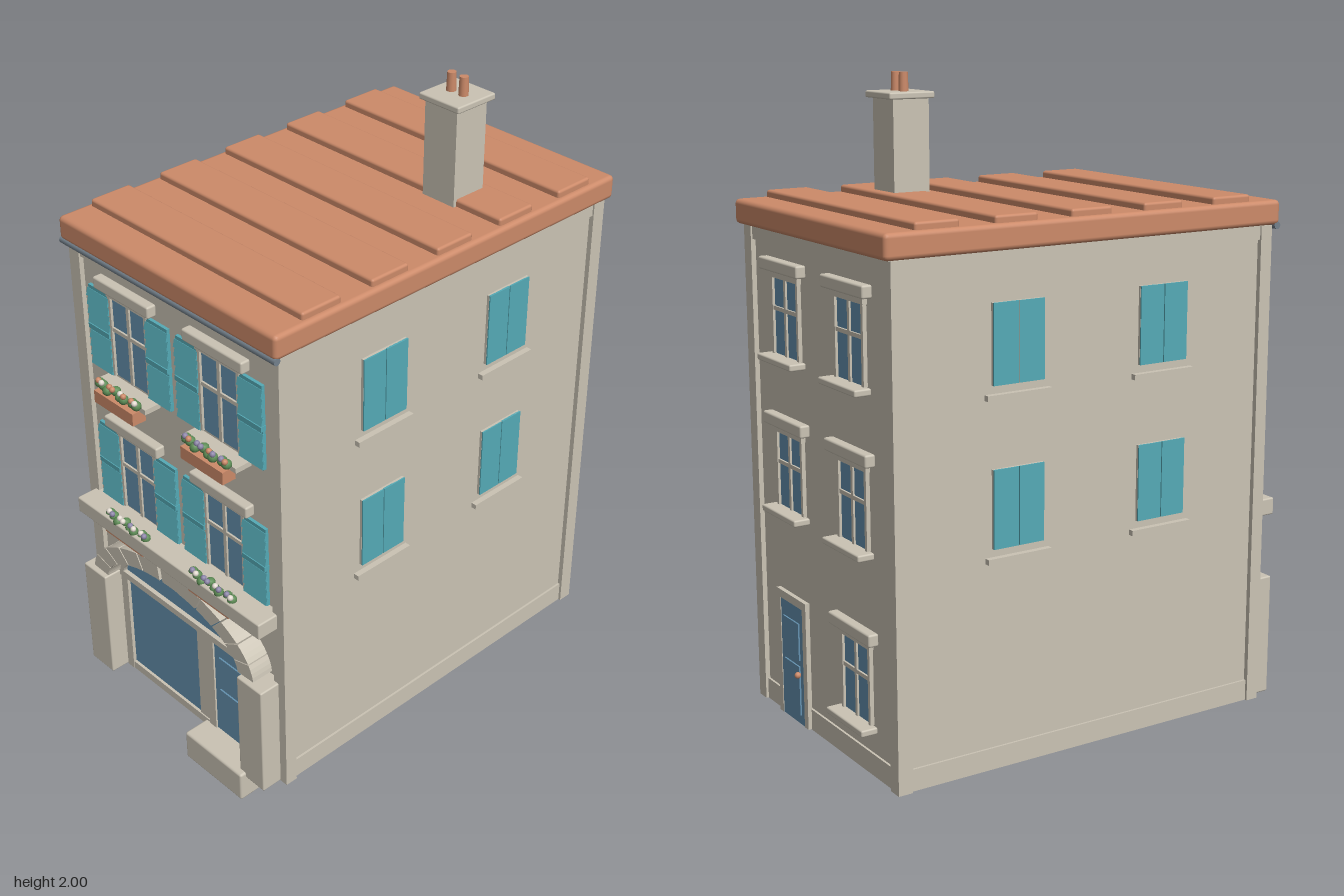
import * as THREE from 'three';
import { RoundedBoxGeometry } from 'three/addons/geometries/RoundedBoxGeometry.js';

const mat = (name, color) => Object.assign(new THREE.MeshStandardMaterial({ color }), { name });

export function createModel() {
  const stone = mat('stone', 0xcac3b4), clay = mat('terracotta', 0xcc8a69);
  const teal = mat('shutter teal', 0x55aab6), blue = mat('glass blue', 0x6592b0);
  const zinc = mat('gutter zinc', 0x74818c), green = mat('leaf green', 0x5d8c55);
  const white = mat('white petals', 0xe4dcd2), lilac = mat('lilac petals', 0x8d86a8);

  const root = new THREE.Group();
  root.name = 'townHouse';

  const add = (parent, name, geo, m) => {
    const mesh = new THREE.Mesh(geo, m);
    mesh.name = name;
    parent.add(mesh);
    return mesh;
  };
  // Box from its low and high corners
  const box = (parent, name, m, x0, x1, y0, y1, z0, z1, r = 0) => {
    const w = x1 - x0, h = y1 - y0, d = z1 - z0;
    const geo = r ? new RoundedBoxGeometry(w, h, d, 2, r) : new THREE.BoxGeometry(w, h, d);
    const mesh = add(parent, name, geo, m);
    mesh.position.set((x0 + x1) / 2, (y0 + y1) / 2, (z0 + z1) / 2);
    return mesh;
  };
  const ball = (parent, name, m, r, x, y, z) =>
    add(parent, name, new THREE.SphereGeometry(r, 10, 8), m).position.set(x, y, z);
  const group = (name, x = 0, y = 0, z = 0, ry = 0) => {
    const g = new THREE.Group();
    g.name = name;
    g.position.set(x, y, z);
    g.rotation.y = ry;
    root.add(g);
    return g;
  };

  // Walls, corner strips, base course and cornice
  box(root, 'walls', stone, -0.425, 0.425, 0.08, 1.57, -0.65, 0.6);
  for (const s of [-1, 1]) {
    const a = s > 0 ? 0.395 : -0.44;
    box(root, 'frontCorner', stone, a, a + 0.045, 0.08, 1.56, 0.575, 0.615);
    box(root, 'backCorner', stone, a, a + 0.045, 0.08, 1.56, -0.665, -0.62);
  }
  box(root, 'baseCourse', stone, -0.432, 0.432, 0.08, 0.145, -0.657, 0.607);
  box(root, 'cornice', stone, -0.435, 0.435, 1.52, 1.565, -0.66, 0.61);

  // Roof slab, tile rows and gutter
  box(root, 'roof', clay, -0.453, 0.453, 1.562, 1.635, -0.688, 0.635, 0.014);
  for (let i = 0; i < 5; i++) {
    const z = -0.5225 + i * 0.246;
    box(root, 'tileRow', clay, -0.438, 0.438, 1.615, 1.656, z - 0.068, z + 0.068, 0.008);
  }
  const gutter = add(root, 'gutter', new THREE.CylinderGeometry(0.011, 0.011, 0.9, 10), zinc);
  gutter.rotation.z = Math.PI / 2;
  gutter.position.set(0, 1.56, 0.627);

  // Chimney
  box(root, 'chimney', stone, 0.152, 0.272, 1.6, 1.93, -0.317, -0.198);
  box(root, 'chimneyCap', stone, 0.138, 0.288, 1.925, 1.945, -0.335, -0.185, 0.005);
  for (const x of [0.19, 0.236])
    add(root, 'chimneyPot', new THREE.CylinderGeometry(0.013, 0.015, 0.065, 12), clay).position.set(x, 1.9675, -0.26);

  // Window in local space: origin at the bottom middle of the glass, wall at z = 0
  const makeWindow = (name, x, y, z, ry, h) => {
    const g = group(name, x, y, z, ry);
    box(g, 'glass', blue, -0.083, 0.083, 0, h, -0.01, 0.004);
    for (const s of [-1, 1])
      box(g, 'jamb', stone, s * 0.08 - 0.006, s * 0.08 + 0.006, 0, h, 0, 0.012);
    box(g, 'mullion', stone, -0.006, 0.006, 0, h, 0, 0.01);
    box(g, 'transom', stone, -0.083, 0.083, h * 0.6 - 0.006, h * 0.6 + 0.006, 0, 0.01);
    box(g, 'head', stone, -0.09, 0.09, h, h + 0.022, 0, 0.014);
    box(g, 'lintel', stone, -0.122, 0.122, h + 0.02, h + 0.057, 0, 0.032, 0.006);
    return g;
  };

  // Louvred shutter on a front window
  const makeShutter = (g, x) => {
    box(g, 'shutterPanel', teal, x - 0.045, x + 0.045, -0.005, 0.26, 0, 0.01);
    box(g, 'shutterRail', teal, x - 0.047, x + 0.047, 0.12, 0.136, 0, 0.018);
    for (let i = 0; i < 8; i++) {
      const y = 0.012 + i * 0.029 + (i > 3 ? 0.022 : 0);
      const slat = box(g, 'louvre', teal, x - 0.048, x + 0.048, y - 0.012, y + 0.012, 0.009, 0.015);
      slat.rotation.x = -0.25;
    }
  };

  // Front windows with shutters, sills and flower boxes
  const blooms = [[clay, white], [lilac, clay], [white, lilac], [lilac, white]];
  let n = 0;
  for (const y of [1.183, 0.72]) for (const x of [-0.193, 0.193]) {
    const g = makeWindow('frontWindow', x, y, 0.6, 0, 0.257);
    makeShutter(g, -0.13);
    makeShutter(g, 0.13);
    box(g, 'sill', stone, -0.113, 0.113, -0.026, -0.01, 0, 0.055);
    box(g, 'flowerBox', clay, -0.088, 0.088, -0.064, -0.024, 0.035, 0.081);
    const petals = blooms[n++];
    for (let i = 0; i < 8; i++) {
      const px = -0.088 + i * 0.025;
      ball(g, 'leaves', green, 0.015, px, -0.008 + (i % 2) * 0.005, 0.058 + (i % 3) * 0.006);
      ball(g, 'bloom', i % 3 === 1 ? petals[1] : petals[0], 0.009, px + 0.006, 0.006 + (i % 2) * 0.006, 0.067 + (i % 2) * 0.008);
    }
  }

  // Back windows
  for (const [x, y] of [[-0.193, 1.2], [0.193, 1.2], [-0.193, 0.74], [0.193, 0.74], [-0.193, 0.23]]) {
    const g = makeWindow('backWindow', x, y, -0.65, Math.PI, 0.225);
    box(g, 'sill', stone, -0.107, 0.107, -0.02, 0, 0, 0.052, 0.005);
  }

  // Closed shutters on both side walls
  for (const s of [-1, 1]) for (const y of [1.195, 0.733]) for (const z of [0.225, -0.268]) {
    const g = group('sideWindow', s * 0.425, y, z, s * Math.PI / 2);
    box(g, 'frame', stone, -0.083, 0.083, 0, 0.227, 0, 0.008);
    for (const k of [-1, 1])
      box(g, 'shutter', teal, k * 0.042 - 0.0405, k * 0.042 + 0.0405, 0, 0.227, 0.006, 0.012);
    box(g, 'sill', stone, -0.105, 0.105, -0.04, -0.024, 0, 0.018);
  }

  // Panelled door, origin at the bottom middle
  const makeDoor = (name, x, y, z, ry, w, h) => {
    const g = group(name, x, y, z, ry);
    box(g, 'doorLeaf', blue, -w / 2, w / 2, 0, h, 0, 0.012);
    box(g, 'doorPanel', blue, -w * 0.34, w * 0.34, 0.03, h * 0.5, 0.01, 0.017);
    box(g, 'doorPanel', blue, -w * 0.34, w * 0.34, h * 0.55, h - 0.05, 0.01, 0.017);
    ball(g, 'doorKnob', clay, 0.01, w * 0.34, 0.16, 0.022);
    return g;
  };
  makeDoor('frontDoor', 0.207, 0.095, 0.604, 0, 0.156, 0.35);
  const back = makeDoor('backDoor', 0.193, 0.082, -0.655, Math.PI, 0.145, 0.37);
  for (const s of [-1, 1])
    box(back, 'doorJamb', stone, s * 0.083 - 0.012, s * 0.083 + 0.012, 0, 0.395, 0, 0.014);
  box(back, 'doorHead', stone, -0.095, 0.095, 0.37, 0.395, 0, 0.014);

  // Shopfront glass, posts and bars
  box(root, 'shopGlass', blue, -0.275, 0.05, 0.105, 0.447, 0.602, 0.611);
  box(root, 'shopSill', stone, -0.305, 0.1, 0.08, 0.107, 0.6, 0.62);
  box(root, 'shopBar', stone, -0.307, 0.307, 0.445, 0.467, 0.6, 0.625);
  for (const [a, b] of [[-0.305, -0.275], [0.05, 0.1], [0.1, 0.13], [0.285, 0.307]])
    box(root, 'shopPost', stone, a, b, 0.08, 0.455, 0.6, a === 0.05 ? 0.616 : 0.622);

  // Elliptical arch over the shopfront
  const arc = (rx, ry, a, b, k = 6) => Array.from({ length: k + 1 }, (_, i) => {
    const t = a + (b - a) * i / k;
    return new THREE.Vector2(rx * Math.cos(t), 0.46 + ry * Math.sin(t));
  });
  const extrude = (name, pts, depth, z, m) => {
    const geo = new THREE.ExtrudeGeometry(new THREE.Shape(pts), { depth, bevelEnabled: false });
    add(root, name, geo, m).position.z = z;
  };
  const ring = (a, b, ri, ro, k) => [...arc(ro[0], ro[1], a, b, k), ...arc(ri[0], ri[1], b, a, k)];
  extrude('fanlight', arc(0.292, 0.116, 0, Math.PI, 32), 0.009, 0.602, blue);
  extrude('archMoulding', ring(0, Math.PI, [0.288, 0.113], [0.33, 0.16], 32), 0.025, 0.6, stone);
  const t0 = 0.05, span = 1.39 / 5;
  for (let i = 0; i < 5; i++) for (const s of [0, 1]) {
    const a = t0 + i * span + 0.008, b = t0 + (i + 1) * span - 0.008;
    const pts = s ? ring(Math.PI - b, Math.PI - a, [0.303, 0.142], [0.37, 0.197], 4)
      : ring(a, b, [0.303, 0.142], [0.37, 0.197], 4);
    extrude('archStone', pts, 0.072, 0.6, stone);
  }
  extrude('keystone', ring(1.45, Math.PI - 1.45, [0.303, 0.135], [0.37, 0.2], 4), 0.066, 0.6, stone);

  // Piers, ledge and doorstep
  for (const s of [-1, 1])
    box(root, 'pier', stone, s * 0.36 - 0.053, s * 0.36 + 0.053, 0.08, 0.46, 0.59, 0.682, 0.005);
  box(root, 'ledge', stone, -0.413, 0.413, 0.66, 0.713, 0.59, 0.683, 0.005);
  box(root, 'doorstep', stone, 0.078, 0.335, 0, 0.1, 0.597, 0.703, 0.008);

  return root;
}
